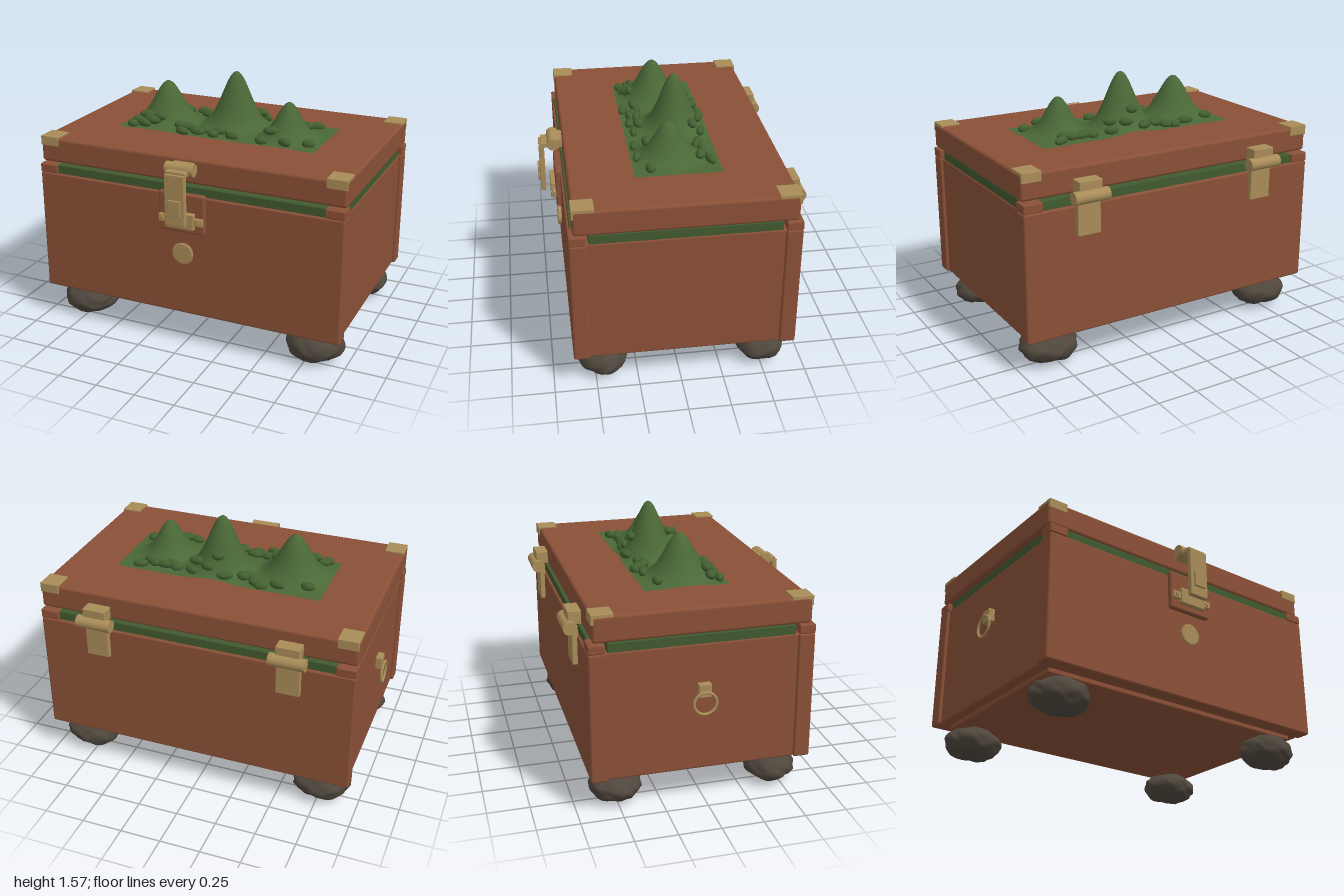
import * as THREE from 'three';
import { RoundedBoxGeometry } from 'three/addons/geometries/RoundedBoxGeometry.js';
import { mergeVertices } from 'three/addons/utils/BufferGeometryUtils.js';

const paint = (name, color) => {
  const m = new THREE.MeshStandardMaterial({ color });
  m.name = name;
  return m;
};

export function createModel() {
  const wood = paint('brownWood', 0x8a5037);
  const brass = paint('brass', 0xa98c58);
  const moss = paint('mossGreen', 0x4a6837);
  const leaf = paint('boulderGreen', 0x436031);
  const lining = paint('liningGreen', 0x41592f);
  const stone = paint('darkStone', 0x4f473d);
  moss.side = THREE.DoubleSide;

  const root = new THREE.Group();
  root.name = 'chest';
  const CX = 0.017; // middle of the box, offset by the side ring

  const add = (name, geo, mat, x = 0, y = 0, z = 0, parent = root) => {
    const m = new THREE.Mesh(geo, mat);
    m.name = name;
    m.position.set(x, y, z);
    parent.add(m);
    return m;
  };
  // Box given by its limits on each axis, with softly rounded edges
  const block = (name, mat, [x0, x1], [y0, y1], [z0, z1], r = 0.012) => {
    const w = x1 - x0, h = y1 - y0, d = z1 - z0;
    const radius = Math.min(r, 0.3 * Math.min(w, h, d));
    return add(name, new RoundedBoxGeometry(w, h, d, 2, radius), mat,
      (x0 + x1) / 2, (y0 + y1) / 2, (z0 + z1) / 2);
  };
  const rod = (name, mat, r, len, axis, x, y, z) => {
    const g = new THREE.CylinderGeometry(r, r, len, 24);
    if (axis === 'x') g.rotateZ(Math.PI / 2);
    if (axis === 'z') g.rotateX(Math.PI / 2);
    return add(name, g, mat, x, y, z);
  };
  const centred = (half) => [CX - half, CX + half];

  // Box: base, front and back boards, slightly recessed sides
  block('base', wood, [-0.885, 0.915], [0.19, 0.24], [-0.58, 0.533]);
  block('frontPanel', wood, centred(0.98), [0.22, 0.992], [0.533, 0.63]);
  block('backPanel', wood, centred(0.98), [0.22, 0.992], [-0.676, -0.58]);
  block('sidePanels', wood, centred(0.962), [0.22, 0.992], [-0.59, 0.543]);

  // Green lining under the lid, with wooden corner blocks
  block('liningLong', lining, [-0.85, 0.885], [0.97, 1.045], [-0.66, 0.615], 0.004);
  block('liningWide', lining, centred(0.957), [0.97, 1.045], [-0.565, 0.52], 0.004);
  for (const x of [[-0.963, -0.845], [0.879, 0.997]])
    for (const z of [[0.535, 0.63], [-0.676, -0.58]])
      block('cornerBlock', wood, x, [0.992, 1.047], z, 0.008);

  // Lid with brass corners
  block('lid', wood, centred(0.98), [1.056, 1.21], [-0.65, 0.605], 0.018);
  for (const x of [[-0.961, -0.84], [0.874, 0.995]])
    for (const z of [[0.482, 0.609], [-0.657, -0.53]])
      block('cornerBracket', brass, x, [1.16, 1.22], z, 0.004);

  // Lumpy stone feet
  const foot = (seed) => {
    let g = new THREE.IcosahedronGeometry(1, 7);
    g.deleteAttribute('uv');
    g.deleteAttribute('normal');
    g = mergeVertices(g);
    const p = g.attributes.position, v = new THREE.Vector3();
    for (let i = 0; i < p.count; i++) {
      v.fromBufferAttribute(p, i);
      const k = 1 + 0.05 * Math.sin(4 * v.x + seed) * Math.cos(4 * v.z - seed)
        + 0.04 * Math.sin(7 * v.y + 5 * v.z + 2 * seed) * Math.cos(6 * v.x)
        + 0.02 * Math.sin(13 * v.x + 9 * v.y + 11 * v.z + seed);
      v.multiplyScalar(k);
      p.setXYZ(i, v.x * 0.177, v.y * 0.1, v.z * 0.15);
    }
    g.computeVertexNormals();
    return g;
  };
  let n = 0;
  for (const x of [-0.757, 0.79])
    for (const z of [0.455, -0.505])
      add('foot', foot(1.7 * ++n), stone, x, 0.106, z);

  // Mountain relief: three bell-shaped peaks [x, z, height, widthX, widthZ]
  const peaks = [
    [-0.395, -0.01, 0.265, 0.09, 0.085],
    [0.043, -0.085, 0.352, 0.088, 0.08],
    [0.428, 0.005, 0.222, 0.073, 0.08],
  ];
  const ground = (x, z) => peaks.reduce((y, [px, pz, h, sx, sz]) =>
    Math.max(y, 1.213 + h * Math.exp(-(((x - px) / sx) ** 2 + ((z - pz) / sz) ** 2) / 2)), 1.213);
  const relief = new THREE.PlaneGeometry(1.297, 0.507, 110, 44);
  relief.rotateX(-Math.PI / 2);
  relief.translate(0.0185, 0, -0.0265);
  const rp = relief.attributes.position;
  for (let i = 0; i < rp.count; i++) rp.setY(i, ground(rp.getX(i), rp.getZ(i)));
  relief.computeVertexNormals();
  add('mountains', relief, moss);

  // Boulders along the back and front of the mountains (x, z in hundredths)
  const spots = [
    -53, -18, -35, -22, -26, -25, -21, -22, -17, -17, -20, -19, -13, -20, -3, -25, 9, -23,
    3, -20, 17, -18, 19, -23, 30, -20, 34, -18, 38, -20, 44, -20, 48, -18, 53, -23,
    -55, 19, -53, 14, -48, 12, -45, 15, -41, 16, -47, 18, -38, 14, -24, 13, -20, 20,
    -19, 12, -13, 15, -9, 13, -10, 17, 0, 18, 2, 13, 12, 17, 32, 19, 36, 12, 47, 19, 60, 13,
  ];
  const boulders = new THREE.Group();
  boulders.name = 'boulders';
  root.add(boulders);
  const pebble = new THREE.SphereGeometry(1, 14, 10);
  for (let i = 0; i < spots.length; i += 2) {
    const x = spots[i] / 100, z = spots[i + 1] / 100;
    const b = add('boulder', pebble, leaf, x, ground(x, z) + 0.014, z, boulders);
    b.scale.set(0.045 + 0.006 * Math.sin(i), 0.027, 0.027 + 0.003 * Math.cos(i));
    b.rotation.y = 0.35 * Math.sin(1.9 * i);
  }

  // Front latch: wooden plate, keeper, hinged strap
  block('latchPlate', wood, centred(0.146), [0.765, 1.01], [0.62, 0.66]);
  block('keeperWings', brass, centred(0.142), [0.825, 0.873], [0.655, 0.68], 0.006);
  block('keeper', brass, centred(0.09), [0.8, 0.9], [0.655, 0.69], 0.006);
  for (const s of [-1, 1]) rod('screw', brass, 0.014, 0.012, 'z', CX + s * 0.115, 0.849, 0.683);
  block('latchMount', brass, centred(0.065), [1.13, 1.19], [0.6, 0.655], 0.006);
  rod('latchPin', brass, 0.037, 0.178, 'x', CX, 1.163, 0.66);
  block('strapArm', brass, centred(0.064), [1.135, 1.168], [0.66, 0.735], 0.006);
  block('strap', brass, centred(0.064), [0.84, 1.152], [0.715, 0.748], 0.006);
  block('strapCatch', brass, centred(0.04), [0.9, 1.0], [0.74, 0.76], 0.004);

  // Round medallion under the latch
  rod('medallion', brass, 0.058, 0.03, 'z', CX, 0.626, 0.641);
  add('medallionRim', new THREE.TorusGeometry(0.056, 0.011, 10, 36), brass, CX, 0.626, 0.645);
  const bead = new THREE.SphereGeometry(0.006, 8, 6);
  for (let i = 0; i < 24; i++) {
    const a = (i / 24) * Math.PI * 2;
    add('medallionBead', bead, brass, CX + 0.063 * Math.cos(a), 0.626 + 0.063 * Math.sin(a), 0.65);
  }

  // Ring pull on the right side
  block('ringMount', brass, [-0.983, -0.94], [0.68, 0.76], [-0.06, 0.015], 0.005);
  const ring = new THREE.TorusGeometry(0.066, 0.0085, 10, 36);
  ring.rotateY(Math.PI / 2);
  add('ringPull', ring, brass, -0.9915, 0.65, -0.025);

  // Back hinges
  for (const x of [-0.579, 0.612]) {
    const leafX = [x - 0.072, x + 0.072];
    rod('hingeBarrel', brass, 0.038, 0.218, 'x', x, 1.05, -0.722);
    block('hingeUpperLeaf', brass, leafX, [1.06, 1.14], [-0.727, -0.64], 0.005);
    block('hingeLowerLeaf', brass, leafX, [0.817, 1.05], [-0.706, -0.67], 0.005);
  }

  return root;
}
